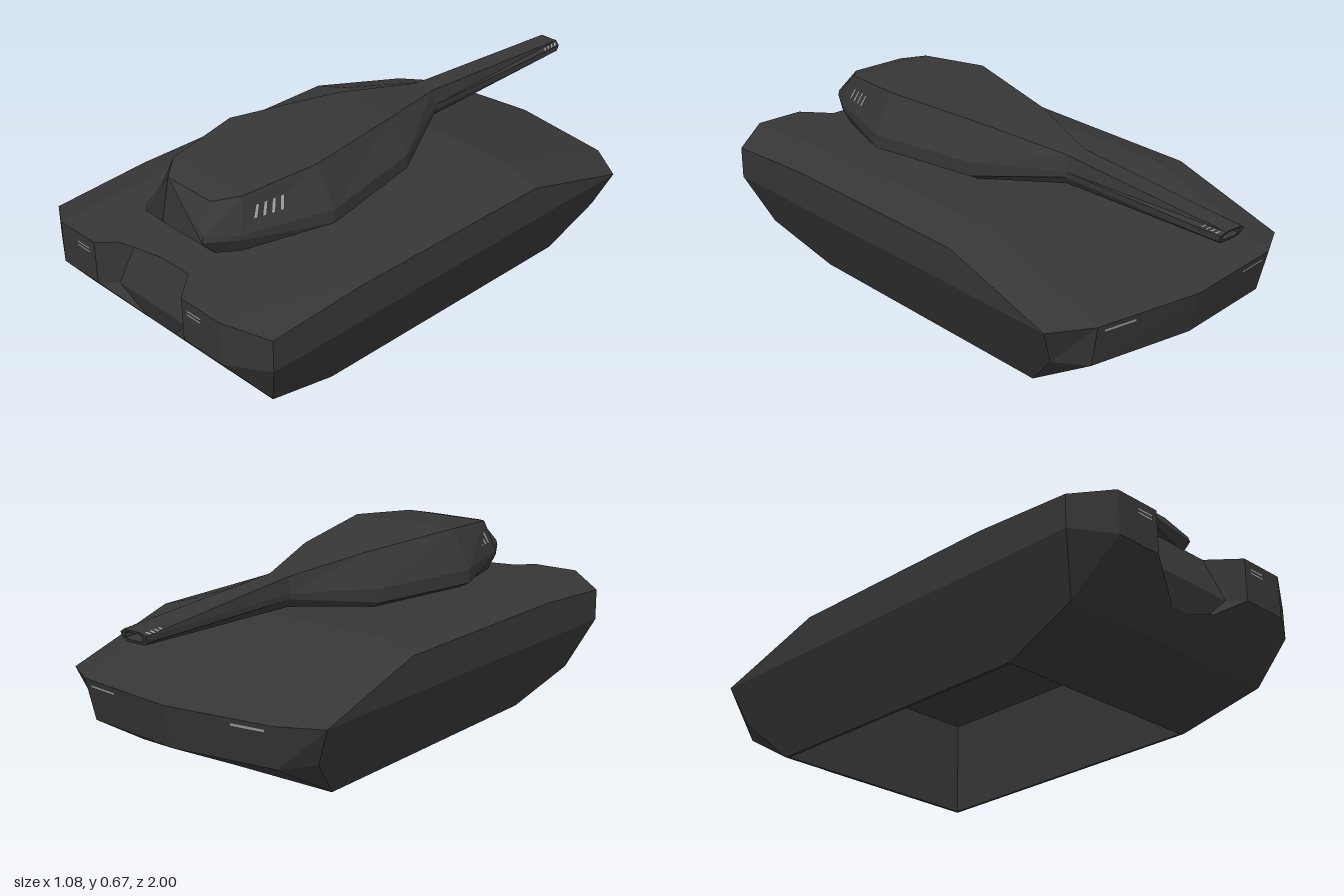
import * as THREE from 'three';

const dark = new THREE.MeshStandardMaterial({ color: 0x363636 });
const light = new THREE.MeshStandardMaterial({ color: 0xa0a0a0, side: THREE.DoubleSide });

const mirror = (p) => [-p[0], p[1], p[2]];

// Flat-faceted mesh from polygons, each split as a fan from its first corner
function facets(name, faces, material) {
  const out = [];
  for (const f of faces) {
    for (let i = 1; i < f.length - 1; i++) out.push(...f[0], ...f[i], ...f[i + 1]);
  }
  const geo = new THREE.BufferGeometry();
  geo.setAttribute('position', new THREE.Float32BufferAttribute(out, 3));
  geo.computeVertexNormals();
  const mesh = new THREE.Mesh(geo, material);
  mesh.name = name;
  return mesh;
}

function faceNormal(f) {
  const n = new THREE.Vector3();
  f.forEach((p, i) => {
    n.add(new THREE.Vector3(...p).cross(new THREE.Vector3(...f[(i + 1) % f.length])));
  });
  return n.normalize();
}

// Turn each face away from a centre (sign 1) or towards it (sign -1), then add its mirror image
function orientAndMirror(faces, centre, sign) {
  return faces.flatMap((f) => {
    const mid = new THREE.Vector3();
    f.forEach((p) => mid.add(new THREE.Vector3(...p)));
    mid.divideScalar(f.length).sub(new THREE.Vector3(...centre));
    const g = faceNormal(f).dot(mid) * sign < 0 ? [...f].reverse() : f;
    return [g, g.map(mirror).reverse()];
  });
}

// Thin strips laid on a four-cornered panel; each strip is a list of (u, v) corners
function strips(name, panel, list) {
  const [a, b, c, d] = panel.map((p) => new THREE.Vector3(...p));
  const n = faceNormal(panel);
  if (n.x * (a.x + c.x) + n.z * (a.z + c.z) < 0) n.negate();
  const at = ([u, v]) => a.clone().lerp(b, u).lerp(d.clone().lerp(c, u), v)
    .addScaledVector(n, 0.003).toArray();
  const faces = list.map((s) => s.map(at));
  return facets(name, [...faces, ...faces.map((f) => f.map(mirror).reverse())], light);
}

// Row of slanted slats as (u, v) corners
function slats(count, u0, step, width, lean, v0, v1) {
  return Array.from({ length: count }, (_, i) => {
    const u = u0 + i * step;
    return [[u, v0], [u + width, v0], [u + width + lean, v1], [u + lean, v1]];
  });
}

export function createModel() {
  const model = new THREE.Group();
  model.name = 'tank';

  // Hull corners, left half: deck, shoulder and edge from front to back
  const notch0 = [0, 0.428, 0.9], notch1 = [0.13, 0.428, 0.9], notch2 = [0.22, 0.428, 1];
  const shoulder0 = [0.4, 0.428, 1], edge0 = [0.54, 0.39, 0.915];
  const deck1 = [0, 0.45, 0.55], shoulder1 = [0.4, 0.45, 0.55], edge1 = [0.54, 0.412, 0.55];
  const deck2 = [0, 0.455, -0.29], shoulder2 = [0.4, 0.455, -0.29], edge2 = [0.54, 0.412, -0.29];
  const deck3 = [0, 0.292, -0.877], shoulder3 = [0.4, 0.292, -0.825], edge3 = [0.54, 0.285, -0.735];
  // Waist, front notch, lower front
  const waist0 = [0.4, 0.275, 1], waist1 = [0.54, 0.275, 0.915];
  const mouth0 = [0, 0.275, 0.95], mouth1 = [0.17, 0.275, 0.95], mouth2 = [0.22, 0.275, 1];
  const lip0 = [0, 0.18, 0.923], lip1 = [0.07, 0.18, 0.923];
  const chin0 = [0, 0.09, 0.85], chin1 = [0.455, 0.09, 0.85];
  // Lower back and floor
  const tail0 = [0, 0.14, -0.84], tail1 = [0.39, 0.14, -0.79], tail2 = [0.48, 0.15, -0.7];
  const floor0 = [0, 0, 0.56], floor1 = [0.415, 0, 0.56];
  const floor2 = [0.415, 0, -0.55], floor3 = [0, 0, -0.55];
  const rim = [[0, 0, 0.55], [0.405, 0, 0.55], [0.405, 0, -0.54], [0, 0, -0.54]];
  const roof = rim.map(([x, , z]) => [x, 0.35, z]);

  const shell = [
    [shoulder1, deck1, notch0, notch1, notch2, shoulder0],
    [shoulder0, edge0, edge1, shoulder1],
    [deck1, shoulder1, shoulder2, deck2],
    [shoulder1, edge1, edge2, shoulder2],
    [deck2, shoulder2, shoulder3, deck3],
    [shoulder2, edge2, edge3, shoulder3],
    [edge0, edge1, edge2, edge3, waist1],
    [waist1, edge3, tail2, floor2, floor1, chin1],
    [notch2, shoulder0, waist0, mouth2],
    [shoulder0, edge0, waist1, waist0],
    [notch0, notch1, mouth1, mouth0],
    [notch1, notch2, mouth2, mouth1],
    [mouth0, mouth1, lip1, lip0],
    [mouth1, mouth2, lip1],
    [chin1, chin0, lip0, lip1, mouth2, waist0],
    [waist0, waist1, chin1],
    [chin0, chin1, floor1, floor0],
    [deck3, shoulder3, tail1, tail0],
    [shoulder3, edge3, tail2, tail1],
    [tail0, tail1, floor2, floor3],
    [tail1, tail2, floor2],
    [floor0, floor1, rim[1], rim[0]],
    [floor1, floor2, rim[2], rim[1]],
    [floor2, floor3, rim[3], rim[2]],
  ];
  model.add(facets('hull', orientAndMirror(shell, [0, 0.2, 0], 1), dark));

  // Open well in the underside
  const well = [0, 1, 2].map((i) => [rim[i], rim[i + 1], roof[i + 1], roof[i]]);
  well.push(roof);
  model.add(facets('undersideWell', orientAndMirror(well, [0, 0.1, 0], -1), dark));

  // Turret and barrel: half sections (top, upper side, lower side, bottom) from bore to rear
  const sections = [
    [[0.025, 0.552, -0.9], [0.036, 0.545, -0.9], [0.036, 0.532, -0.9], [0.025, 0.525, -0.9]],
    [[0.025, 0.552, -0.996], [0.036, 0.545, -0.993], [0.036, 0.532, -0.988], [0.025, 0.525, -0.984]],
    [[0.035, 0.56, -1], [0.053, 0.548, -0.995], [0.053, 0.528, -0.985], [0.035, 0.515, -0.98]],
    [[0.04, 0.6, -0.3], [0.053, 0.545, -0.31], [0.053, 0.525, -0.31], [0.035, 0.495, -0.3]],
    [[0.13, 0.64, 0], [0.208, 0.525, 0], [0.208, 0.475, 0], [0.17, 0.455, 0]],
    [[0.215, 0.665, 0.42], [0.29, 0.525, 0.42], [0.29, 0.475, 0.42], [0.25, 0.455, 0.42]],
    [[0.17, 0.643, 0.7], [0.2, 0.528, 0.74], [0.2, 0.51, 0.74], [0.18, 0.455, 0.72]],
    [[0.105, 0.627, 0.775], [0.14, 0.54, 0.84], [0.14, 0.52, 0.847], [0.13, 0.455, 0.79]],
  ];
  const rings = sections.map((s) => [...s, ...s.map(mirror).reverse()]);
  const skin = [rings[0], [...rings[rings.length - 1]].reverse()];
  for (let i = 0; i < rings.length - 1; i++) {
    for (let j = 0; j < 8; j++) {
      const k = (j + 1) % 8;
      skin.push([rings[i][j], rings[i + 1][j], rings[i + 1][k], rings[i][k]]);
    }
  }
  model.add(facets('turretAndBarrel', skin, dark));

  // Vents on the turret cheeks and barrel tip
  const sidePanel = (i) => [sections[i][1], sections[i + 1][1], sections[i + 1][0], sections[i][0]];
  model.add(strips('turretVents', sidePanel(5), slats(4, 0.52, 0.1, 0.045, -0.03, 0.32, 0.66)));
  model.add(strips('barrelVents', sidePanel(2), slats(4, 0.03, 0.027, 0.012, -0.012, 0.2, 0.75)));

  // Front and back lamp bars
  const bar = (u0, u1, v0, v1) => [[u0, v0], [u1, v0], [u1, v1], [u0, v1]];
  model.add(strips('frontLamps', [notch2, shoulder0, waist0, mouth2],
    [bar(0.14, 0.5, 0.18, 0.235), bar(0.14, 0.5, 0.265, 0.32)]));
  model.add(strips('backLamps', [deck3, shoulder3, tail1, tail0], [bar(0.62, 0.93, 0.1, 0.17)]));

  return model;
}
